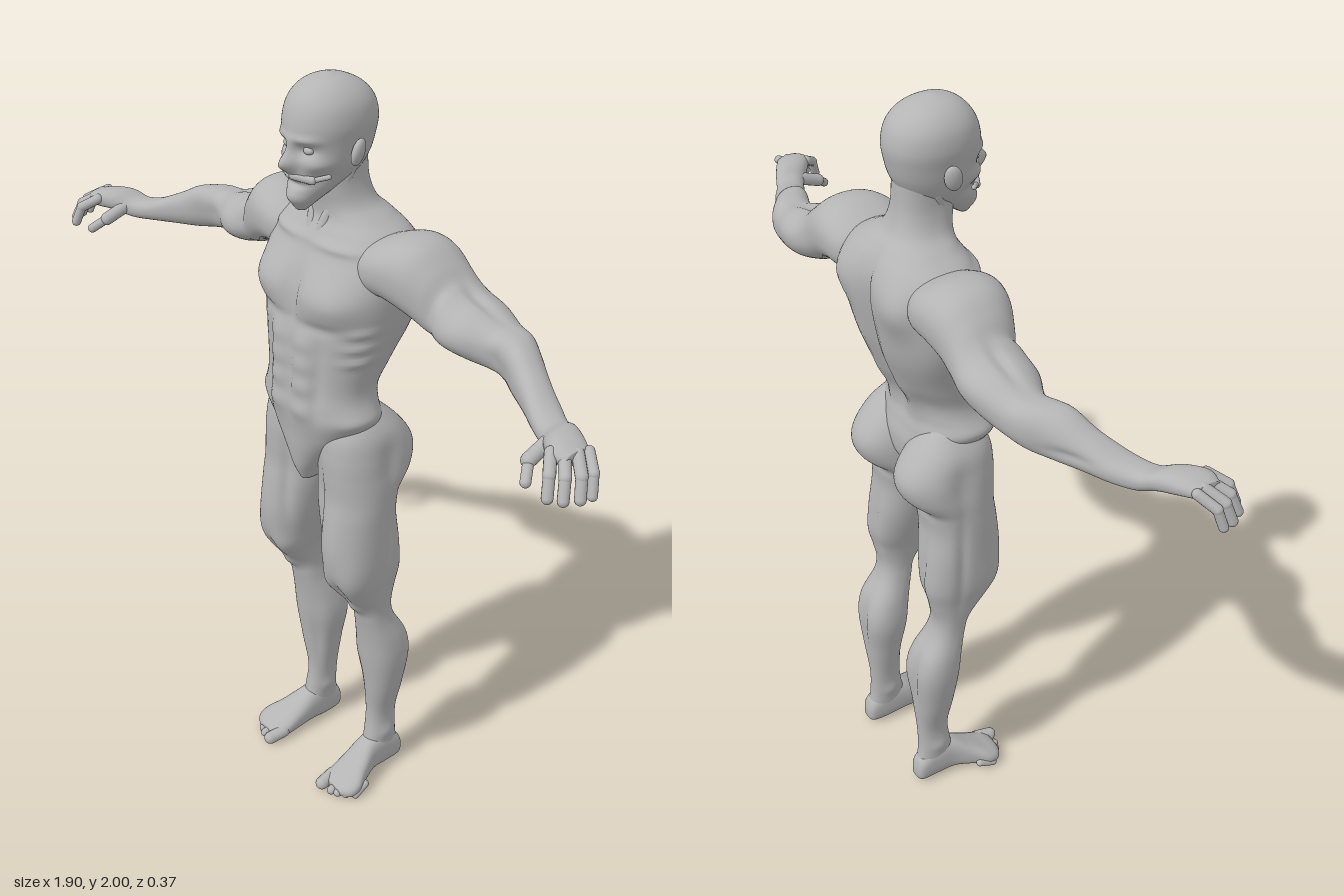
import * as THREE from 'three';

const skin = new THREE.MeshStandardMaterial({ color: 0xb4b4b4 });
skin.name = 'grey clay';

// smooth interpolation between cross-section rows
function sample(rows, u) {
  const i = Math.min(Math.floor(u), rows.length - 2), f = u - i;
  const p = rows[Math.max(i - 1, 0)], q = rows[i], r = rows[i + 1], s = rows[Math.min(i + 2, rows.length - 1)];
  return q.map((v, k) => v + 0.5 * f * (r[k] - p[k] + f * (2 * p[k] - 5 * v + 4 * r[k] - s[k] + f * (3 * (v - r[k]) + s[k] - p[k]))));
}

// Skin over cross-sections [t, aMin, aMax, bMin, bMax]; axes names the a, b, t directions.
// Muscles are soft bumps [x, y, z, sizeX, sizeY, sizeZ, height] pushing the skin outwards.
function loft(name, axes, rows, bumps = [], { mirror = false, power = 2.3, around = 72, steps = 9 } = {}) {
  const pos = [], index = [], n = (rows.length - 1) * steps;
  const [ia, ib, it] = [...axes].map(c => 'xyz'.indexOf(c));
  const bend = v => Math.sign(v) * Math.abs(v) ** (2 / power);
  const put = (a, b, t) => { const p = []; p[ia] = a; p[ib] = b; p[it] = t; return p; };
  for (let i = 0; i <= n; i++) {
    const [t, a0, a1, b0, b1] = sample(rows, i / steps);
    const ca = (a0 + a1) / 2, cb = (b0 + b1) / 2;
    for (let j = 0; j < around; j++) {
      const w = j / around * Math.PI * 2;
      const da = bend(Math.cos(w)) * (a1 - a0) / 2, db = bend(Math.sin(w)) * (b1 - b0) / 2;
      const [x, y, z] = put(ca + da, cb + db, t), len = Math.hypot(da, db) || 1;
      let push = 0;
      for (const [bx, by, bz, sx, sy, sz, h] of bumps) {
        const dx = (mirror ? Math.abs(x) : x) - bx;
        push += h * Math.exp(-((dx / sx) ** 2) - ((y - by) / sy) ** 2 - ((z - bz) / sz) ** 2);
      }
      pos.push(...put(ca + da * (1 + push / len), cb + db * (1 + push / len), t));
    }
  }
  for (let i = 0; i < n; i++) for (let j = 0; j < around; j++) {
    const k = (j + 1) % around, p = i * around, q = p + around;
    index.push(p + j, q + j, p + k, q + j, q + k, p + k);
  }
  // end caps
  for (const [row, ring] of [[rows[0], 0], [rows[rows.length - 1], n * around]]) {
    const c = pos.length / 3;
    pos.push(...put((row[1] + row[2]) / 2, (row[3] + row[4]) / 2, row[0]));
    for (let j = 0; j < around; j++) {
      const k = (j + 1) % around;
      index.push(c, ring + (ring ? k : j), ring + (ring ? j : k));
    }
  }
  const g = new THREE.BufferGeometry();
  g.setAttribute('position', new THREE.Float32BufferAttribute(pos, 3));
  g.setIndex(index);
  g.computeVertexNormals();
  const mesh = new THREE.Mesh(g, skin);
  mesh.name = name;
  return mesh;
}

function capsule(name, a, b, r) {
  const p = new THREE.Vector3(...a), d = new THREE.Vector3(...b).sub(p);
  const mesh = new THREE.Mesh(new THREE.CapsuleGeometry(r, d.length(), 6, 16), skin);
  mesh.position.copy(p).addScaledVector(d, 0.5);
  mesh.quaternion.setFromUnitVectors(new THREE.Vector3(0, 1, 0), d.normalize());
  mesh.name = name;
  return mesh;
}

function ellipsoid(name, p, s, tilt = [0, 0, 0]) {
  const mesh = new THREE.Mesh(new THREE.SphereGeometry(1, 24, 16), skin);
  mesh.position.set(...p);
  mesh.scale.set(...s);
  mesh.rotation.set(...tilt);
  mesh.name = name;
  return mesh;
}

// parts that exist once, on the centre line
function makeTrunk() {
  const g = new THREE.Group();
  g.name = 'trunk';
  const row = (y, w, back, front) => [y, -w, w, back, front];
  const abs = [1.2, 1.265, 1.325, 1.38].map(y => [0.042, y, 0.14, 0.032, 0.026, 0.05, 0.009]);
  g.add(loft('torso', 'xzy', [
    row(0.97, 0.015, 0.03, 0.095), row(1.01, 0.04, -0.04, 0.113), row(1.06, 0.08, -0.09, 0.122),
    row(1.12, 0.135, -0.1, 0.128), row(1.17, 0.166, -0.088, 0.135), row(1.21, 0.162, -0.078, 0.136),
    row(1.26, 0.154, -0.085, 0.134), row(1.32, 0.165, -0.12, 0.132), row(1.4, 0.185, -0.155, 0.126),
    row(1.48, 0.202, -0.172, 0.115), row(1.55, 0.21, -0.18, 0.1), row(1.6, 0.2, -0.177, 0.078),
    row(1.64, 0.17, -0.162, 0.058), row(1.67, 0.12, -0.14, 0.042), row(1.7, 0.08, -0.112, 0.042),
    row(1.75, 0.062, -0.095, 0.05), row(1.82, 0.06, -0.09, 0.05),
  ], [
    ...abs,
    [0.1, 1.5, 0.1, 0.085, 0.055, 0.08, 0.03],      // chest muscle
    [0.1, 1.43, 0.13, 0.08, 0.014, 0.06, -0.008],   // crease under chest
    [0, 1.52, 0.11, 0.012, 0.09, 0.05, -0.014],     // breastbone groove
    [0, 1.3, 0.14, 0.009, 0.13, 0.05, -0.008],      // belly groove
    [0.09, 1.28, 0.12, 0.014, 0.12, 0.06, -0.009],  // side of the belly
    [0.1, 1.62, 0.06, 0.09, 0.012, 0.04, 0.01],     // collar bone
    [0.165, 1.19, 0.04, 0.04, 0.025, 0.08, 0.012],  // waist muscle
    [0, 1.42, -0.17, 0.02, 0.27, 0.07, -0.028],     // spine groove
    [0.11, 1.56, -0.17, 0.05, 0.06, 0.06, 0.02],    // shoulder blade
    [0.05, 1.26, -0.09, 0.028, 0.09, 0.05, 0.013],  // lower back
    [0.17, 1.45, -0.1, 0.05, 0.08, 0.07, 0.01],     // side of the back
    ...[1.35, 1.39, 1.43].map(y => [0.165, y, 0.05, 0.04, 0.011, 0.04, 0.008]), // ribs
  ], { mirror: true }));
  g.add(loft('head', 'xzy', [
    row(1.7, 0.014, 0.075, 0.1), row(1.725, 0.034, 0.035, 0.114), row(1.755, 0.054, -0.02, 0.114),
    row(1.785, 0.07, -0.07, 0.114), row(1.82, 0.082, -0.095, 0.117), row(1.86, 0.09, -0.107, 0.116),
    row(1.9, 0.096, -0.112, 0.116), row(1.94, 0.09, -0.102, 0.105), row(1.97, 0.071, -0.077, 0.084),
    row(1.99, 0.042, -0.04, 0.055), row(2, 0.006, 0, 0.014),
  ], [
    [0, 1.815, 0.12, 0.015, 0.022, 0.05, 0.03],     // nose
    [0, 1.845, 0.12, 0.012, 0.03, 0.05, 0.014],     // nose bridge
    [0.037, 1.847, 0.11, 0.024, 0.014, 0.04, -0.016], // eye socket
    [0.037, 1.873, 0.11, 0.033, 0.01, 0.04, 0.007], // brow
    [0.06, 1.815, 0.08, 0.025, 0.018, 0.04, 0.007], // cheekbone
    [0.055, 1.785, 0.07, 0.02, 0.02, 0.04, -0.007], // hollow cheek
    [0, 1.765, 0.12, 0.035, 0.008, 0.04, -0.01],    // mouth
    [0, 1.735, 0.12, 0.025, 0.018, 0.04, 0.008],    // chin beard
  ], { mirror: true, power: 2.15 }));
  return g;
}

// everything on the model's left; the right is its mirror image
function makeSide() {
  const g = new THREE.Group();
  g.add(ellipsoid('ear', [0.096, 1.84, 0], [0.013, 0.033, 0.021], [-0.15, 0.35, -0.15]));
  g.add(ellipsoid('eye', [0.036, 1.848, 0.094], [0.014, 0.009, 0.01]));
  g.add(capsule('moustache', [0.006, 1.786, 0.115], [0.048, 1.781, 0.093], 0.0095));
  g.add(capsule('moustacheTip', [0.048, 1.781, 0.093], [0.076, 1.792, 0.068], 0.006));
  g.add(capsule('neckTendon', [0.052, 1.79, -0.015], [0.017, 1.64, 0.042], 0.015));

  g.add(loft('arm', 'zyx', [
    [0.1, -0.12, 0.02, 1.54, 1.62], [0.16, -0.16, 0.05, 1.515, 1.65], [0.22, -0.167, 0.05, 1.51, 1.667],
    [0.28, -0.162, 0.035, 1.49, 1.66], [0.33, -0.158, 0.014, 1.465, 1.625], [0.38, -0.16, 0.004, 1.45, 1.583],
    [0.44, -0.157, -0.006, 1.44, 1.563], [0.5, -0.145, -0.025, 1.435, 1.542], [0.55, -0.13, -0.024, 1.427, 1.541],
    [0.6, -0.1, -0.002, 1.42, 1.53], [0.66, -0.065, 0.024, 1.417, 1.502], [0.72, -0.035, 0.055, 1.415, 1.475],
    [0.77, -0.004, 0.08, 1.415, 1.468], [0.81, 0.016, 0.112, 1.43, 1.484], [0.85, 0.038, 0.138, 1.437, 1.485],
    [0.885, 0.06, 0.13, 1.445, 1.475],
  ], [
    [0.25, 1.63, -0.05, 0.07, 0.05, 0.09, 0.008],   // shoulder muscle
    [0.35, 1.56, -0.02, 0.016, 0.07, 0.07, -0.012], // crease below shoulder
    [0.41, 1.5, 0.0, 0.06, 0.035, 0.05, 0.014],     // biceps
    [0.4, 1.52, -0.16, 0.07, 0.04, 0.05, 0.01],     // triceps
    [0.41, 1.57, -0.085, 0.08, 0.03, 0.013, -0.01], // groove between them
    [0.52, 1.48, -0.02, 0.02, 0.04, 0.03, -0.008],  // inner elbow
    [0.57, 1.52, -0.03, 0.05, 0.03, 0.035, 0.01],   // forearm muscle
    [0.63, 1.46, -0.075, 0.08, 0.012, 0.03, -0.007], // forearm groove
  ], { around: 56 }));

  // fingers: knuckle, joint and tip
  [[0.888, 0.066, 0.925, 0.09, 0.937, 0.102], [0.88, 0.09, 0.918, 0.117, 0.931, 0.13],
    [0.864, 0.112, 0.9, 0.145, 0.913, 0.16], [0.842, 0.128, 0.874, 0.163, 0.886, 0.177],
  ].forEach(([kx, kz, jx, jz, tx, tz], i) => {
    const r = i ? 0.0125 : 0.011;
    g.add(capsule('fingerBase', [kx, 1.465, kz], [jx, 1.44, jz], r + 0.001));
    g.add(capsule('fingerTip', [jx, 1.44, jz], [tx, 1.398, tz], r));
  });
  g.add(capsule('thumbBase', [0.79, 1.445, 0.08], [0.792, 1.425, 0.135], 0.017));
  g.add(capsule('thumbTip', [0.792, 1.425, 0.135], [0.818, 1.398, 0.168], 0.012));

  g.add(loft('leg', 'xzy', [
    [0.02, 0.108, 0.16, -0.12, -0.01], [0.06, 0.102, 0.164, -0.126, -0.005], [0.12, 0.098, 0.165, -0.118, -0.022],
    [0.2, 0.094, 0.162, -0.12, -0.03], [0.3, 0.078, 0.184, -0.13, -0.02], [0.4, 0.063, 0.199, -0.137, -0.008],
    [0.48, 0.069, 0.197, -0.123, 0], [0.55, 0.084, 0.186, -0.088, 0.012], [0.6, 0.09, 0.185, -0.078, 0.026],
    [0.66, 0.083, 0.192, -0.09, 0.074], [0.72, 0.065, 0.202, -0.104, 0.103], [0.8, 0.042, 0.207, -0.1, 0.112],
    [0.9, 0.02, 0.208, -0.088, 0.104], [0.96, 0.01, 0.207, -0.1, 0.098], [1.02, 0.008, 0.206, -0.138, 0.1],
    [1.08, 0.01, 0.2, -0.142, 0.1], [1.14, 0.022, 0.183, -0.11, 0.09], [1.2, 0.06, 0.14, -0.05, 0.05],
  ], [
    [0.1, 1.06, -0.15, 0.07, 0.065, 0.06, 0.013],     // buttock
    [0.1, 0.965, -0.1, 0.08, 0.02, 0.05, -0.01],      // fold below it
    [0.2, 1.06, -0.03, 0.03, 0.06, 0.04, -0.01],      // hip hollow
    [0.09, 0.69, 0.08, 0.028, 0.05, 0.05, 0.014],     // inner knee muscle
    [0.185, 0.73, 0.07, 0.03, 0.07, 0.05, 0.01],      // outer knee muscle
    [0.138, 0.67, 0.09, 0.016, 0.04, 0.05, -0.014],   // tendon hollow
    [0.135, 0.85, 0.11, 0.035, 0.12, 0.04, 0.007],    // front of thigh
    [0.07, 0.92, 0.09, 0.018, 0.13, 0.05, -0.012],    // inner thigh groove
    [0.205, 0.82, -0.03, 0.03, 0.16, 0.016, -0.009],  // outer thigh groove
    [0.12, 0.76, -0.1, 0.013, 0.12, 0.04, -0.009],    // back of thigh groove
    [0.138, 0.605, 0.03, 0.022, 0.024, 0.03, 0.012],  // kneecap
    [0.09, 0.43, -0.1, 0.03, 0.07, 0.05, 0.009],      // inner calf
    [0.175, 0.45, -0.1, 0.03, 0.07, 0.05, 0.007],     // outer calf
    [0.133, 0.4, -0.14, 0.012, 0.1, 0.04, -0.009],    // calf groove
    [0.1, 0.36, -0.03, 0.02, 0.14, 0.02, -0.008],     // shin groove
    [0.132, 0.13, -0.07, 0.06, 0.02, 0.022, 0.007],   // ankle bones
  ], {}));

  g.add(loft('foot', 'yxz', [
    [-0.136, 0.02, 0.05, 0.122, 0.148], [-0.122, 0.004, 0.085, 0.107, 0.163], [-0.07, 0, 0.12, 0.1, 0.168],
    [-0.02, 0.001, 0.112, 0.098, 0.174], [0.03, 0.002, 0.083, 0.098, 0.194], [0.07, 0.001, 0.06, 0.098, 0.214],
    [0.1, 0.002, 0.045, 0.102, 0.21], [0.118, 0.01, 0.032, 0.112, 0.185],
  ], [[0.13, 0, -0.02, 0.06, 0.02, 0.04, -0.006]], { around: 40, power: 2.5 }));
  for (let i = 0; i < 5; i++) {
    const r = i ? 0.0125 - i * 0.0004 : 0.018, x = i ? 0.132 + i * 0.0185 : 0.117, z = 0.132 - i * i * 0.0028;
    g.add(capsule('toe', [x - 0.004, 0.026, z - 0.045], [x + 0.002, r + 0.002, z - (i ? 0.005 : 0.002)], r));
  }
  return g;
}

export function createModel() {
  const model = new THREE.Group();
  model.name = 'muscularFigure';
  const left = makeSide(), right = makeSide();
  left.name = 'leftSide';
  right.name = 'rightSide';
  right.scale.x = -1;
  model.add(makeTrunk(), left, right);
  return model;
}
